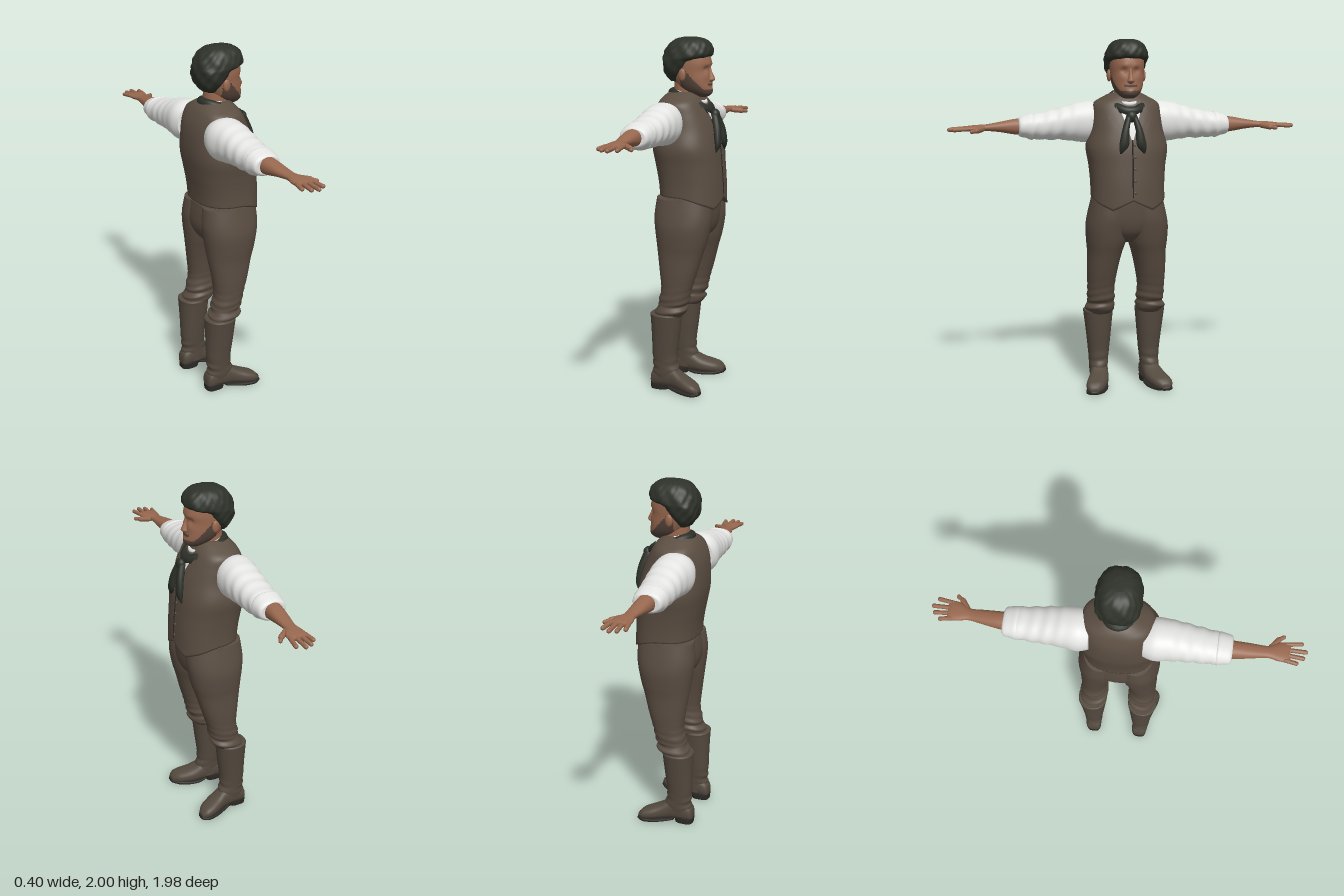
import * as THREE from 'three';

const mat = (name, color, side = THREE.FrontSide) => {
  const m = new THREE.MeshStandardMaterial({ color, side });
  m.name = name;
  return m;
};

// Catmull-Rom through the rows of a table, u measured in rows
const cubic = (a, b, c, d, t) =>
  0.5 * (2 * b + (c - a) * t + (2 * a - 5 * b + 4 * c - d) * t * t + (3 * b - a - 3 * c + d) * t * t * t);
function rowAt(rows, u) {
  const last = rows.length - 1, i = Math.min(Math.floor(u), last - 1), t = u - i;
  const r = k => rows[Math.max(0, Math.min(last, k))];
  return rows[0].map((_, c) => cubic(r(i - 1)[c], r(i)[c], r(i + 1)[c], r(i + 2)[c], t));
}

// Loft of superellipse sections. Row: [along axis, min a, max a, min b, max b].
// Cross axes (a, b): y axis -> (z, x), x axis -> (y, z), z axis -> (x, y).
const AXES = { x: ['y', 'z'], y: ['z', 'x'], z: ['x', 'y'] };
function loft(axis, rows, { n = 2.2, seg = 32, steps = 5, deform } = {}) {
  const [A, B] = AXES[axis], pos = [], idx = [];
  const rings = (rows.length - 1) * steps + 1;
  const push = (t, a, b) => {
    const v = new THREE.Vector3();
    v[axis] = t; v[A] = a; v[B] = b;
    if (deform) deform(v);
    pos.push(v.x, v.y, v.z);
  };
  const bend = c => Math.sign(c) * Math.abs(c) ** (2 / n);
  for (let j = 0; j < rings; j++) {
    const [t, a0, a1, b0, b1] = rowAt(rows, j / steps);
    for (let i = 0; i < seg; i++) {
      const th = i / seg * Math.PI * 2;
      push(t, (a0 + a1) / 2 + (a1 - a0) / 2 * bend(Math.cos(th)), (b0 + b1) / 2 + (b1 - b0) / 2 * bend(Math.sin(th)));
    }
  }
  for (let j = 0; j < rings - 1; j++) for (let i = 0; i < seg; i++) {
    const k = (i + 1) % seg, p = j * seg, q = p + seg;
    idx.push(p + i, p + k, q + k, p + i, q + k, q + i);
  }
  // end caps
  const end = r => push(r[0], (r[1] + r[2]) / 2, (r[3] + r[4]) / 2);
  end(rows[0]); end(rows[rows.length - 1]);
  const c0 = rings * seg, top = (rings - 1) * seg;
  for (let i = 0; i < seg; i++) {
    const k = (i + 1) % seg;
    idx.push(c0, k, i, c0 + 1, top + i, top + k);
  }
  const g = new THREE.BufferGeometry();
  g.setAttribute('position', new THREE.Float32BufferAttribute(pos, 3));
  g.setIndex(idx);
  g.computeVertexNormals();
  return g;
}

function mirrored(geo) {
  const g = geo.clone().scale(-1, 1, 1), ix = g.index.array;
  for (let i = 0; i < ix.length; i += 3) [ix[i], ix[i + 1]] = [ix[i + 1], ix[i]];
  g.computeVertexNormals();
  return g;
}

// Rounded stick between two points
function stick(p, q, r) {
  const a = new THREE.Vector3(...p), b = new THREE.Vector3(...q), d = b.clone().sub(a);
  const g = new THREE.CapsuleGeometry(r, d.length(), 5, 10);
  g.applyQuaternion(new THREE.Quaternion().setFromUnitVectors(new THREE.Vector3(0, 1, 0), d.normalize()));
  return g.translate((p[0] + q[0]) / 2, (p[1] + q[1]) / 2, (p[2] + q[2]) / 2);
}
const ball = (x, y, z, sx, sy, sz) => new THREE.SphereGeometry(1, 20, 14).scale(sx, sy, sz).translate(x, y, z);

const VEST_N = 2.4;
const VEST = [
  [1.08, -0.158, 0.198, -0.207, 0.207], [1.2, -0.165, 0.194, -0.207, 0.207], [1.3, -0.182, 0.186, -0.215, 0.215],
  [1.4, -0.198, 0.176, -0.228, 0.228], [1.5, -0.2, 0.152, -0.205, 0.205], [1.58, -0.19, 0.122, -0.195, 0.195],
  [1.64, -0.165, 0.09, -0.183, 0.183], [1.675, -0.14, 0.065, -0.13, 0.13], [1.7, -0.11, 0.04, -0.08, 0.08],
];
// Front surface of the vest at x, y
function vestZ(x, y) {
  let u = 0;
  while (u < VEST.length - 1.02 && rowAt(VEST, u)[0] < y) u += 0.02;
  const [, z0, z1, , w] = rowAt(VEST, u);
  return (z0 + z1) / 2 + (z1 - z0) / 2 * Math.max(0, 1 - Math.abs(x / w) ** VEST_N) ** (1 / VEST_N);
}
// Thin patch laid on the vest; corners: bottom left, bottom right, top left, top right
function patch([a, b, c, d], off) {
  const g = new THREE.PlaneGeometry(1, 1, 8, 8), p = g.attributes.position, mix = THREE.MathUtils.lerp;
  for (let i = 0; i < p.count; i++) {
    const s = p.getX(i) + 0.5, t = p.getY(i) + 0.5;
    const x = mix(mix(a[0], b[0], s), mix(c[0], d[0], s), t), y = mix(mix(a[1], b[1], s), mix(c[1], d[1], s), t);
    p.setXYZ(i, x, y, vestZ(x, y) + off);
  }
  g.computeVertexNormals();
  return g;
}

export function createModel() {
  const vest = mat('vest brown', 0x5b4e42, THREE.DoubleSide), trousers = mat('trouser brown', 0x594c41);
  const leather = mat('boot leather', 0x544a3f), sole = mat('sole dark', 0x2c2a26);
  const skin = mat('skin', 0x98684f), beard = mat('beard', 0x54443a), hair = mat('hair', 0x2e3229);
  const linen = mat('shirt white', 0xe4e4e2, THREE.DoubleSide), cloth = mat('neckerchief', 0x2b2f27);
  const body = new THREE.Group();
  const add = (name, geo, material) => {
    const m = new THREE.Mesh(geo, material);
    m.name = name;
    body.add(m);
  };
  const pair = (name, geo, material) => {
    add(name + 'Right', geo, material);
    add(name + 'Left', mirrored(geo), material);
  };

  // Vest with a pointed front hem
  add('vest', loft('y', VEST, { n: VEST_N, seg: 64, steps: 6, deform: v => {
    const w = THREE.MathUtils.clamp((1.2 - v.y) / 0.12, 0, 1), f = THREE.MathUtils.smoothstep(v.z, 0, 0.14);
    v.y += w * (0.05 - f * (0.07 - 0.5 * Math.abs(Math.abs(v.x) - 0.11)));
  } }), vest);
  const seam = [1.13, 1.2, 1.3, 1.4, 1.48].map(y => new THREE.Vector3(0, y, vestZ(0, y)));
  add('vestSeam', new THREE.TubeGeometry(new THREE.CatmullRomCurve3(seam), 24, 0.004, 6), sole);
  for (let i = 0; i < 5; i++) {
    const y = 1.16 + i * 0.065;
    add('vestButton', ball(0.012, y, vestZ(0.012, y), 0.008, 0.008, 0.006), vest);
  }
  pair('lapel', patch([[0.01, 1.42], [0.03, 1.42], [0.075, 1.63], [0.125, 1.57]], 0.007), vest);
  add('shirtFront', patch([[-0.006, 1.45], [0.006, 1.45], [-0.06, 1.62], [0.06, 1.62]], 0.009), linen);

  // Neckerchief: collar roll, knot and two tails
  const ring = (w, zb, zf, yb, yf) => new THREE.CatmullRomCurve3(Array.from({ length: 16 }, (_, i) => {
    const a = i / 16 * Math.PI * 2, k = (Math.cos(a) + 1) / 2;
    return new THREE.Vector3(Math.sin(a) * w, yb + (yf - yb) * k ** 1.3, zb + (zf - zb) * k);
  }), true);
  add('neckerchiefRoll', new THREE.TubeGeometry(ring(0.083, -0.1, 0.112, 1.69, 1.6), 64, 0.027, 12, true), cloth);
  add('shirtCollar', new THREE.TubeGeometry(ring(0.068, -0.085, 0.085, 1.705, 1.64), 48, 0.012, 8, true), linen);
  add('neckerchiefKnot', ball(0, 1.575, 0.147, 0.03, 0.032, 0.025), cloth);
  pair('neckerchiefTail', loft('y', [
    [1.375, 0.172, 0.18, 0.062, 0.07], [1.42, 0.165, 0.197, 0.022, 0.076],
    [1.5, 0.148, 0.19, 0.018, 0.058], [1.58, 0.125, 0.165, 0, 0.03],
  ], { seg: 16 }), cloth);

  // Neck and face, with the beard as a second material
  add('neck', loft('y', [[1.58, -0.1, 0.06, -0.07, 0.07], [1.66, -0.095, 0.055, -0.066, 0.066], [1.76, -0.09, 0.05, -0.066, 0.066]]), skin);
  const face = loft('y', [
    [1.672, 0.02, 0.1, -0.03, 0.03], [1.69, -0.02, 0.122, -0.055, 0.055], [1.72, -0.06, 0.124, -0.076, 0.076],
    [1.76, -0.09, 0.12, -0.088, 0.088], [1.81, -0.12, 0.115, -0.094, 0.094], [1.86, -0.13, 0.118, -0.096, 0.096],
    [1.91, -0.12, 0.1, -0.09, 0.09], [1.96, -0.08, 0.06, -0.06, 0.06],
  ], { seg: 72, steps: 8, deform: v => {
    if (v.z < 0.04) return;
    const dent = (x, y, r, d) => d * Math.exp(-((Math.abs(v.x) - x) ** 2 + (v.y - y) ** 2) / (r * r));
    v.z += -dent(0.036, 1.825, 0.018, 0.012) + dent(0.03, 1.848, 0.014, 0.004) + dent(0, 1.705, 0.02, 0.004)
      + dent(0.045, 1.785, 0.02, 0.004) - dent(0, 1.727, 0.012, 0.004);
  } });
  const p = face.attributes.position, ix = [...face.index.array], parts = [[], []];
  for (let i = 0; i < ix.length; i += 3) {
    const t = ix.slice(i, i + 3), mean = f => t.reduce((s, k) => s + f(k), 0) / 3;
    const y = mean(k => p.getY(k)), z = mean(k => p.getZ(k)), x = Math.abs(mean(k => p.getX(k)));
    const jaw = z > -0.03 && y < Math.min(1.83, 1.714 + Math.max(0, 0.098 - z) * 1.1);
    const moustache = z > 0.08 && x < 0.035 && y > 1.733 && y < 1.746;
    parts[jaw || moustache ? 1 : 0].push(...t);
  }
  face.setIndex(parts.flat());
  face.addGroup(0, parts[0].length, 0);
  face.addGroup(parts[0].length, parts[1].length, 1);
  add('face', face, [skin, beard]);
  add('nose', loft('y', [
    [1.752, 0.1, 0.122, -0.012, 0.012], [1.765, 0.095, 0.142, -0.02, 0.02], [1.78, 0.095, 0.14, -0.016, 0.016],
    [1.81, 0.095, 0.126, -0.01, 0.01], [1.84, 0.095, 0.116, -0.009, 0.009],
  ], { n: 2, seg: 16 }), skin);
  pair('ear', ball(0.098, 1.795, -0.012, 0.012, 0.034, 0.021).rotateZ(0), skin);

  // Wavy hair
  add('hair', loft('y', [
    [1.755, -0.105, -0.04, -0.06, 0.06], [1.79, -0.132, -0.02, -0.092, 0.092], [1.83, -0.147, 0.02, -0.109, 0.109],
    [1.87, -0.15, 0.05, -0.118, 0.118], [1.893, -0.148, 0.115, -0.119, 0.119], [1.925, -0.138, 0.125, -0.112, 0.112],
    [1.96, -0.115, 0.11, -0.096, 0.096], [1.985, -0.08, 0.08, -0.068, 0.068], [1.995, -0.04, 0.04, -0.03, 0.03],
  ], { n: 2.4, seg: 64, steps: 5, deform: v => {
    const a = Math.atan2(v.x, v.z), s = 1 + 0.02 * Math.sin(a * 9 + v.y * 60) + 0.015 * Math.sin(a * 17 - v.y * 95);
    v.x *= s; v.z *= s;
  } }), hair);

  // Rumpled sleeves and rolled cuffs
  pair('sleeve', loft('x', [
    [0.14, 1.44, 1.635, -0.18, 0.015], [0.2, 1.42, 1.652, -0.195, 0.03], [0.28, 1.427, 1.642, -0.185, 0.028],
    [0.36, 1.438, 1.618, -0.178, 0.022], [0.44, 1.438, 1.598, -0.172, 0.015], [0.54, 1.445, 1.578, -0.165, 0.005],
  ], { steps: 10, seg: 40, deform: v => {
    const cy = 1.53, cz = -0.08, a = Math.atan2(v.y - cy, v.z - cz);
    const s = 1 + 0.028 * THREE.MathUtils.smoothstep(v.x, 0.2, 0.4) * Math.sin(v.x * 85 + 2 * Math.sin(a + 1) + a);
    v.y = cy + (v.y - cy) * s; v.z = cz + (v.z - cz) * s;
  } }), linen);
  pair('cuff', loft('x', [
    [0.51, 1.455, 1.57, -0.155, -0.005], [0.525, 1.438, 1.587, -0.17, 0.008], [0.56, 1.45, 1.578, -0.164, 0.004],
    [0.59, 1.457, 1.567, -0.158, -0.002], [0.6, 1.468, 1.556, -0.145, -0.015],
  ], { seg: 32 }), linen);

  // Forearms, hands and fingers
  pair('forearm', loft('x', [
    [0.55, 1.465, 1.56, -0.13, -0.03], [0.62, 1.47, 1.556, -0.125, -0.032], [0.7, 1.484, 1.542, -0.113, -0.033],
    [0.77, 1.492, 1.53, -0.1, -0.035], [0.8, 1.492, 1.528, -0.1, -0.028], [0.84, 1.49, 1.526, -0.108, -0.006],
    [0.88, 1.492, 1.522, -0.11, 0], [0.9, 1.498, 1.516, -0.105, -0.008],
  ]), skin);
  [[-0.099, -0.108, 0.935], [-0.07, -0.076, 0.968], [-0.041, -0.04, 0.98], [-0.012, 0.001, 0.955]].forEach(([z0, z1, x]) =>
    pair('finger', stick([0.875, 1.508, z0], [x, 1.503, z1], 0.0115), skin));
  pair('thumb', stick([0.8, 1.505, -0.035], [0.835, 1.498, 0.012], 0.015), skin);
  pair('thumbTip', stick([0.835, 1.498, 0.012], [0.862, 1.495, 0.032], 0.011), skin);

  // Trousers
  add('hips', loft('y', [
    [0.865, -0.08, 0.07, -0.04, 0.04], [0.92, -0.135, 0.135, -0.15, 0.15],
    [1, -0.162, 0.16, -0.21, 0.21], [1.13, -0.15, 0.165, -0.198, 0.198],
  ], { seg: 40 }), trousers);
  pair('trouserLeg', loft('y', [
    [0.43, -0.15, -0.01, 0.08, 0.21], [0.475, -0.148, 0.035, 0.062, 0.232], [0.505, -0.13, 0.03, 0.068, 0.217],
    [0.53, -0.13, 0.045, 0.064, 0.222], [0.6, -0.115, 0.06, 0.068, 0.222], [0.7, -0.125, 0.09, 0.053, 0.225],
    [0.8, -0.14, 0.118, 0.03, 0.224], [0.87, -0.15, 0.14, 0.008, 0.23], [0.95, -0.161, 0.157, -0.005, 0.233],
    [1.02, -0.166, 0.165, -0.005, 0.222], [1.12, -0.155, 0.16, 0, 0.198],
  ], { seg: 40, steps: 6, deform: v => {
    const w = 1 - THREE.MathUtils.smoothstep(v.y, 0.5, 0.72);
    const s = 1 + 0.035 * w * Math.sin(v.y * 150 + v.x * 25 - v.z * 22);
    v.x = 0.145 + (v.x - 0.145) * s; v.z = -0.04 + (v.z + 0.04) * s;
  } }), trousers);

  // Tall boots
  pair('bootShaft', loft('y', [
    [0.04, -0.165, -0.03, 0.1, 0.195], [0.1, -0.168, -0.008, 0.098, 0.204], [0.14, -0.166, -0.02, 0.096, 0.205],
    [0.2, -0.17, -0.026, 0.089, 0.209], [0.32, -0.172, -0.012, 0.078, 0.222], [0.43, -0.176, -0.001, 0.068, 0.236],
    [0.45, -0.178, 0, 0.066, 0.238], [0.457, -0.172, -0.005, 0.072, 0.232],
  ], { seg: 36, deform: v => {
    if (v.y < 0.2) v.z += 0.004 * Math.sin(v.y * 130 + v.x * 20);
  } }), leather);
  pair('bootFoot', loft('z', [
    [-0.18, 0.125, 0.17, 0.025, 0.07], [-0.165, 0.103, 0.19, 0.015, 0.11], [-0.1, 0.1, 0.2, 0.014, 0.15],
    [-0.04, 0.102, 0.206, 0.014, 0.135], [0.01, 0.108, 0.225, 0.012, 0.105], [0.06, 0.125, 0.244, 0.01, 0.085],
    [0.105, 0.15, 0.248, 0.01, 0.068], [0.133, 0.185, 0.23, 0.015, 0.042],
  ], { seg: 32, n: 2.4 }), leather);
  pair('bootSole', loft('z', [
    [-0.07, 0.115, 0.195, 0.014, 0.028], [-0.02, 0.106, 0.215, 0.004, 0.022], [0.04, 0.118, 0.24, 0, 0.02],
    [0.1, 0.147, 0.25, 0, 0.022], [0.136, 0.183, 0.232, 0.006, 0.024],
  ], { n: 4 }), sole);
  pair('bootHeel', loft('y', [
    [0, -0.18, -0.075, 0.104, 0.19], [0.02, -0.182, -0.07, 0.102, 0.192], [0.035, -0.182, -0.066, 0.102, 0.192],
  ], { n: 3 }), sole);

  // Turn the figure to face +x
  body.name = 'figure';
  body.rotation.y = Math.PI / 2;
  const model = new THREE.Group();
  model.name = 'standingMan';
  model.add(body);
  return model;
}
